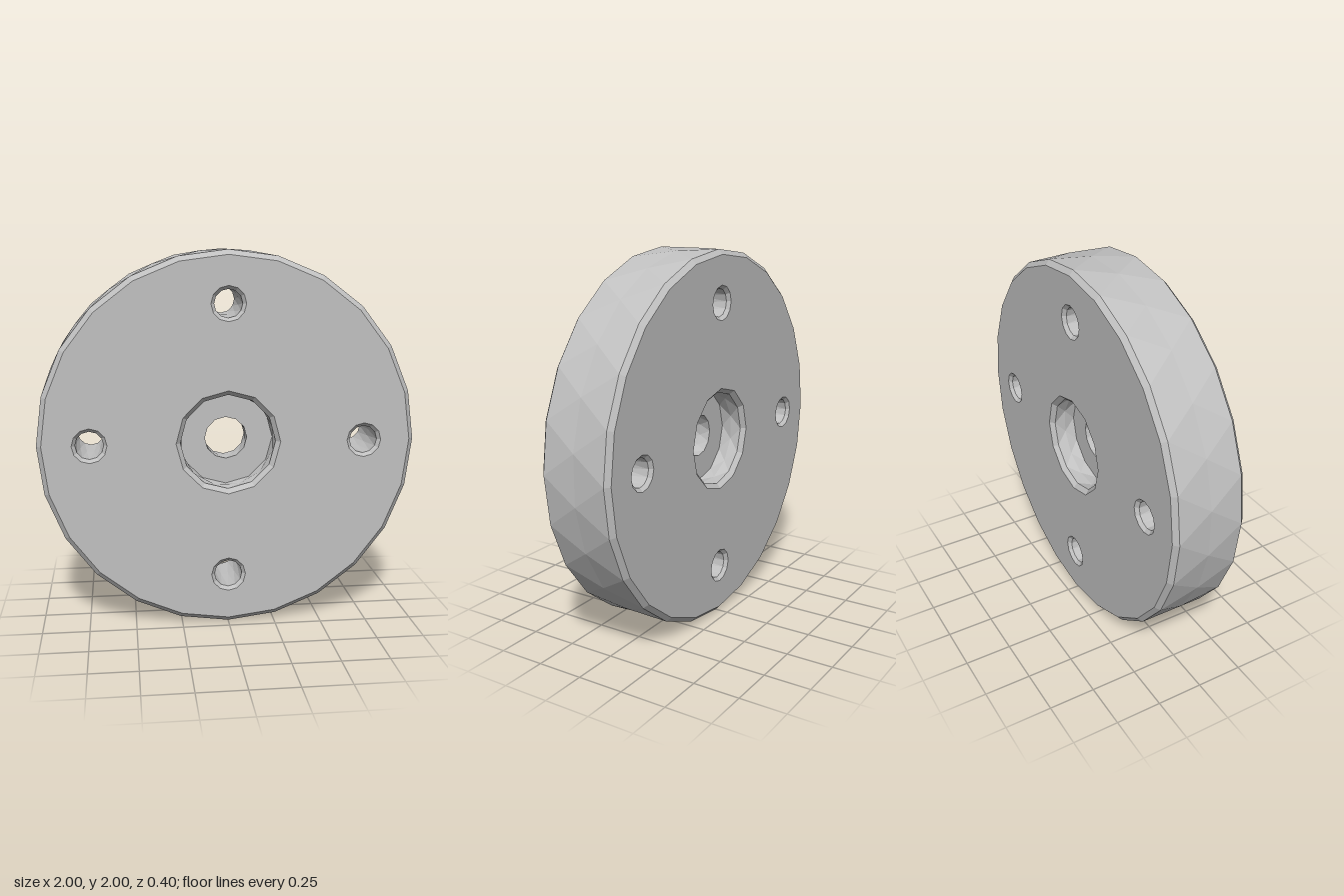
import * as THREE from 'three';

const HALF = 0.2; // half thickness of the disc

// Point on a regular polygon ring; offset is in fractions of one side
const ringPoint = (r, z, offset, i, sides) => {
  const a = ((i + offset) / sides) * Math.PI * 2;
  return [r * Math.cos(a), r * Math.sin(a), z];
};

// Faceted band through rings [radius, z, offset] listed from front to back
function facetedBand(rings, sides, inward = false) {
  const pos = [];
  const tri = (a, b, c) => pos.push(...a, ...(inward ? c : b), ...(inward ? b : c));
  for (let k = 0; k < rings.length - 1; k++) {
    const A = rings[k], B = rings[k + 1];
    for (let i = 0; i < sides; i++) {
      const a0 = ringPoint(...A, i, sides), a1 = ringPoint(...A, i + 1, sides);
      const b0 = ringPoint(...B, i, sides), b1 = ringPoint(...B, i + 1, sides);
      if (A[2] > B[2]) {
        tri(a0, b0, b1);
        tri(a0, b1, a1);
      } else {
        tri(a0, b0, a1);
        tri(a1, b0, b1);
      }
    }
  }
  const g = new THREE.BufferGeometry();
  g.setAttribute('position', new THREE.Float32BufferAttribute(pos, 3));
  g.computeVertexNormals();
  return g;
}

const polygon = (Type, r, sides, cx = 0, cy = 0) =>
  new Type(Array.from({ length: sides }, (_, i) => {
    const [x, y] = ringPoint(r, 0, 0, i, sides);
    return new THREE.Vector2(x + cx, y + cy);
  }));

export function createModel() {
  const group = new THREE.Group();
  const disc = new THREE.Group();
  disc.name = 'disc';
  disc.position.y = 1;
  group.add(disc);

  const metal = new THREE.MeshStandardMaterial({ color: 0xc0c0c0, flatShading: true });
  metal.name = 'grey metal';
  const add = (name, geometry) => {
    const mesh = new THREE.Mesh(geometry, metal);
    mesh.name = name;
    disc.add(mesh);
    return mesh;
  };

  // Rim with chamfers and a staggered middle ring
  add('rim', facetedBand([
    [0.974, HALF, 0], [1, 0.176, 0], [1, 0, 0.5], [1, -0.176, 0], [0.974, -HALF, 0],
  ], 24));

  // Centre bore: chamfered recess on both sides, thin web, through hole
  add('centreBore', facetedBand([
    [0.277, HALF, 0], [0.253, 0.176, 0], [0.253, 0.118, 0.5], [0.253, 0.06, 0],
    [0.114, 0.06, 0], [0.114, 0, 0.5], [0.114, -0.06, 0],
    [0.253, -0.06, 0], [0.253, -0.118, 0.5], [0.253, -0.176, 0], [0.277, -HALF, 0],
  ], 12, true));

  // Four chamfered bolt holes
  const holeGeometry = facetedBand([
    [0.092, HALF, 0], [0.074, 0.182, 0], [0.074, 0, 0.5], [0.074, -0.182, 0], [0.092, -HALF, 0],
  ], 12, true);
  const holeCentres = [0, 1, 2, 3].map((i) => ringPoint(0.727, 0, 0, i, 4));
  holeCentres.forEach(([x, y]) => add('boltHole', holeGeometry).position.set(x, y, 0));

  // Front and back faces
  const outline = polygon(THREE.Shape, 0.974, 24);
  outline.holes.push(polygon(THREE.Path, 0.277, 12));
  holeCentres.forEach(([x, y]) => outline.holes.push(polygon(THREE.Path, 0.092, 12, x, y)));
  const face = new THREE.ShapeGeometry(outline);
  add('frontFace', face).position.z = HALF;
  const back = add('backFace', face);
  back.position.z = -HALF;
  back.rotation.y = Math.PI;

  return group;
}
